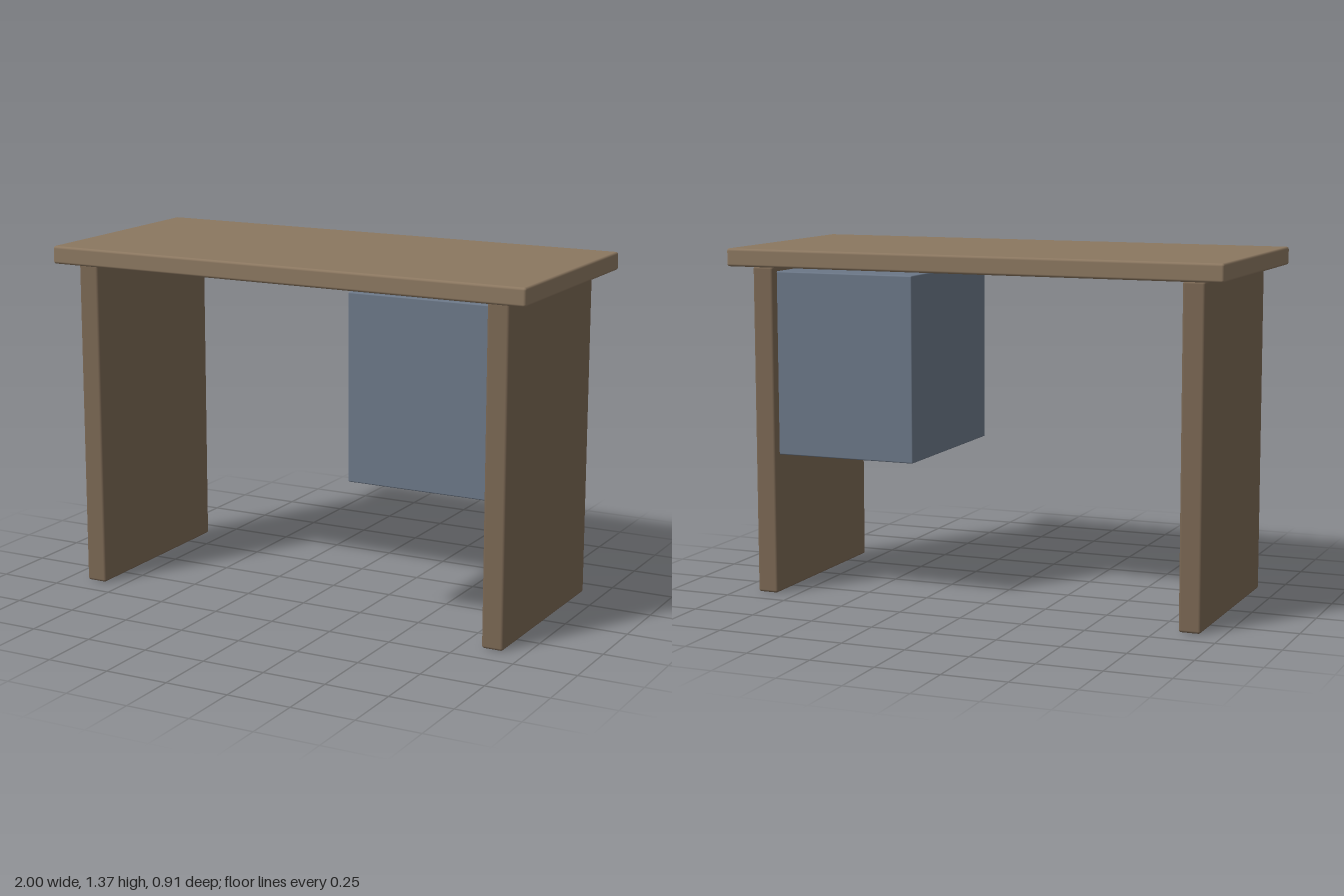
import * as THREE from 'three';
import { RoundedBoxGeometry } from 'three/addons/geometries/RoundedBoxGeometry.js';

const topWood = new THREE.MeshStandardMaterial({ color: 0x8b7760 });
const legWood = new THREE.MeshStandardMaterial({ color: 0x7a6753 });
const bluePaint = new THREE.MeshStandardMaterial({ color: 0x6b7787 });

// Softly rounded board spanning [x0,x1] x [y0,y1], centred on z
function board(name, material, [x0, x1], [y0, y1], depth, radius) {
  const geometry = new RoundedBoxGeometry(x1 - x0, y1 - y0, depth, 3, radius);
  const mesh = new THREE.Mesh(geometry, material);
  mesh.name = name;
  mesh.position.set((x0 + x1) / 2, (y0 + y1) / 2, 0);
  return mesh;
}

export function createModel() {
  const desk = new THREE.Group();
  desk.name = 'desk';

  // Worktop overhanging the side panels
  desk.add(board('worktop', topWood, [-1, 1], [1.296, 1.366], 0.908, 0.01));

  // Full-depth panel legs
  desk.add(board('leftPanel', legWood, [0.83, 0.915], [0, 1.295], 0.8, 0.01));
  desk.add(board('rightPanel', legWood, [-0.915, -0.83], [0, 1.295], 0.8, 0.01));

  // Cabinet hung against the inside of the left panel
  desk.add(board('cabinet', bluePaint, [0.255, 0.845], [0.552, 1.275], 0.725, 0.005));

  return desk;
}
